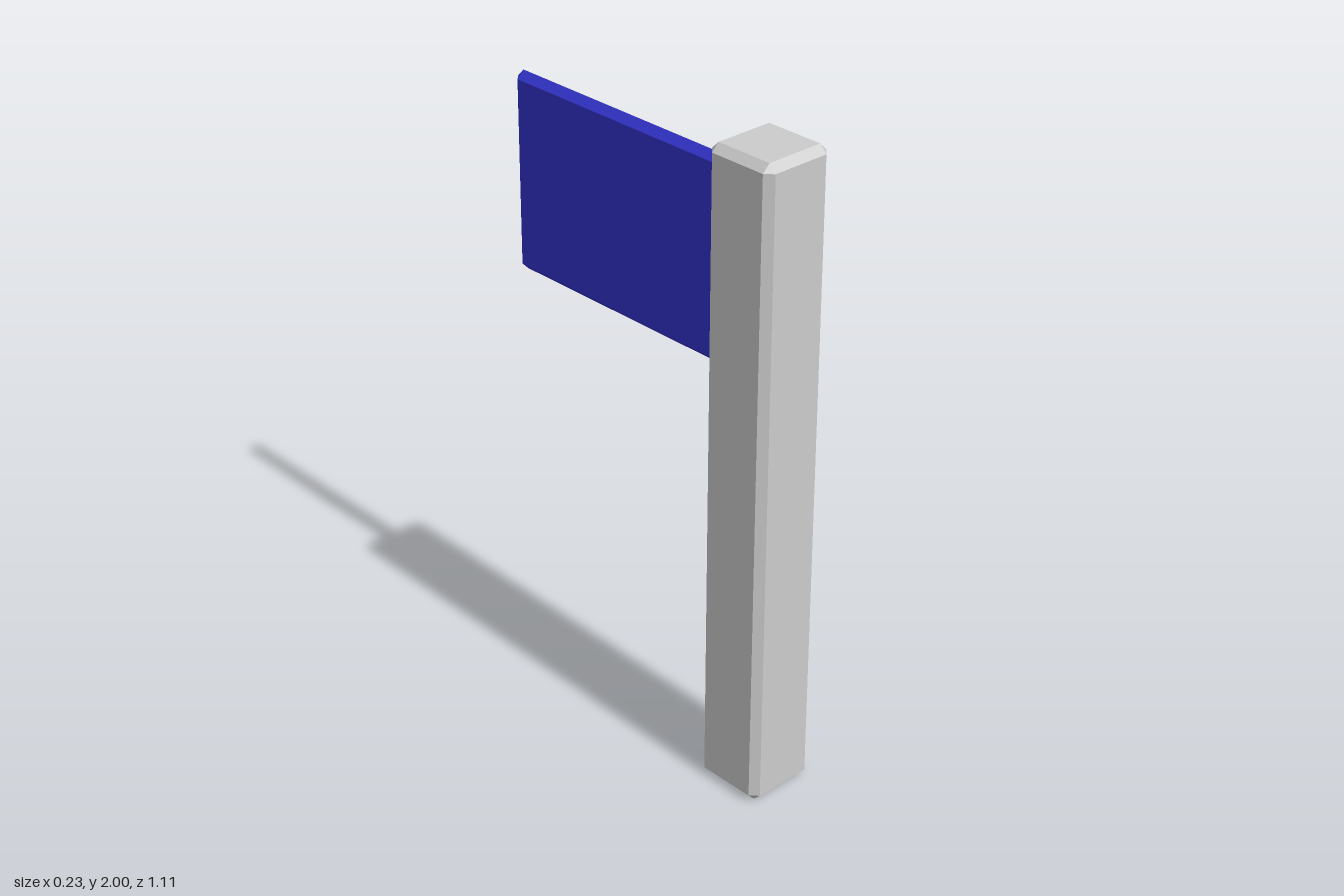
import * as THREE from 'three';
import { ConvexGeometry } from 'three/addons/geometries/ConvexGeometry.js';

const SIGNS = [-1, 1];

// Box with every edge and corner cut at 45 degrees
function chamferedBox(w, h, d, c) {
  const x = w / 2, y = h / 2, z = d / 2;
  const points = new Map();
  const add = (...p) => {
    const v = p.map((n) => n + 0); // turns -0 into 0 so shared corners match
    points.set(v.join(), new THREE.Vector3(...v));
  };
  for (const i of SIGNS) for (const j of SIGNS) for (const k of SIGNS) {
    add(i * x, j * (y - c), k * (z - c));
    add(i * (x - c), j * y, k * (z - c));
    add(i * (x - c), j * (y - c), k * z);
  }
  return new ConvexGeometry([...points.values()]);
}

// Rectangular frustum running along z
function frustum(w0, h0, z0, w1, h1, z1) {
  const points = [];
  for (const i of SIGNS) for (const j of SIGNS) {
    points.push(new THREE.Vector3(i * w0 / 2, j * h0 / 2, z0));
    points.push(new THREE.Vector3(i * w1 / 2, j * h1 / 2, z1));
  }
  return new ConvexGeometry(points);
}

export function createModel() {
  const group = new THREE.Group();
  const grey = new THREE.MeshStandardMaterial({ color: 0xcccccc, flatShading: true });
  const blue = new THREE.MeshStandardMaterial({ color: 0x3333cc, flatShading: true });

  const add = (name, geometry, material, y, z) => {
    const mesh = new THREE.Mesh(geometry, material);
    mesh.name = name;
    mesh.position.set(0, y, z);
    group.add(mesh);
  };

  // Square post standing on the ground
  add('post', chamferedBox(0.23, 2, 0.23, 0.023), grey, 1, 0.441);

  // Tapered collar that joins the panel to the back of the post
  add('collar', frustum(0.098, 0.67, 0.33, 0.046, 0.62, 0.302), grey, 1.605, 0);

  // Thin panel with ridged edges; its near end is sunk into the post
  add('panel', chamferedBox(0.046, 0.622, 0.916, 0.023), blue, 1.605, -0.098);

  return group;
}
